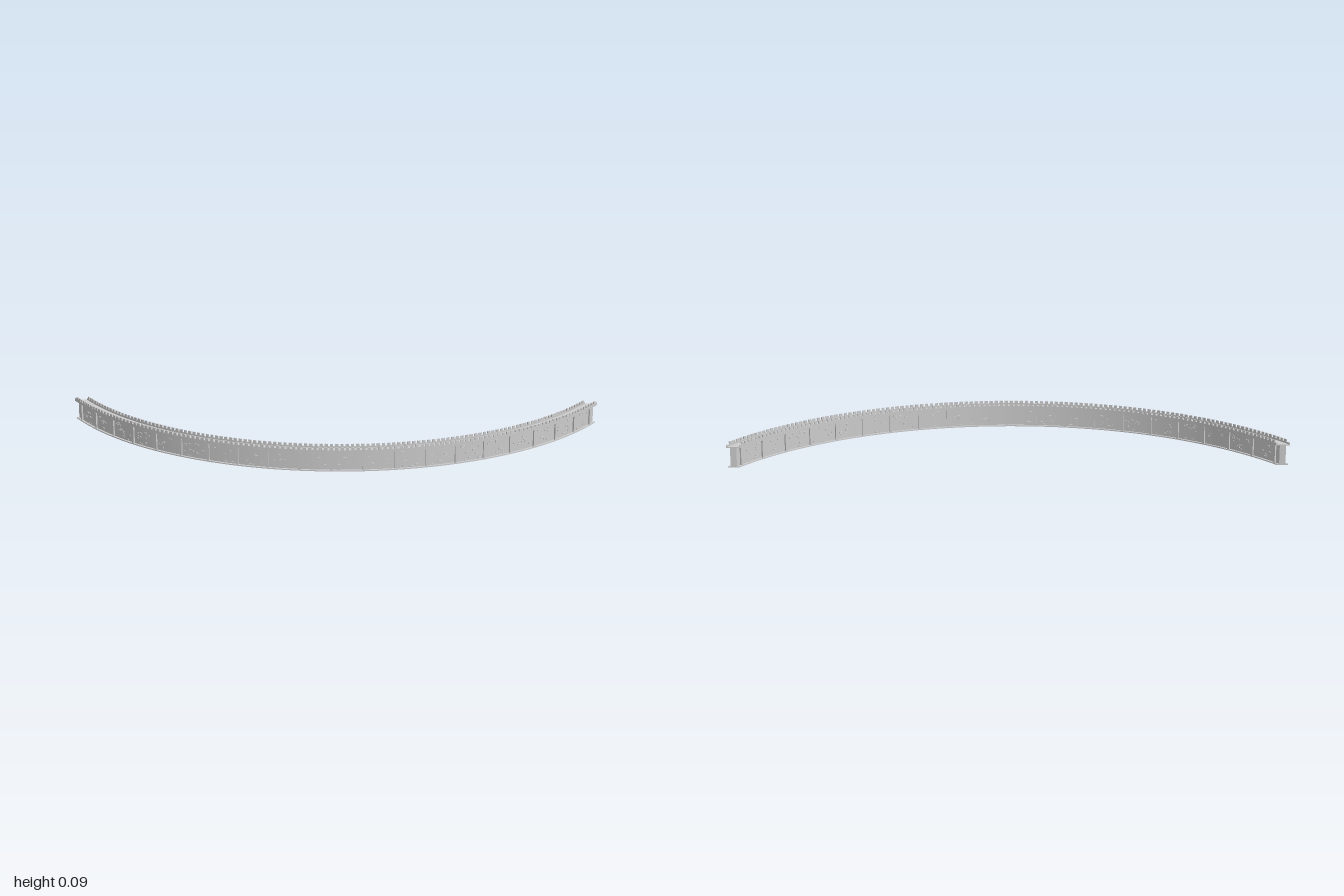
import * as THREE from 'three';
import { mergeGeometries } from 'three/addons/utils/BufferGeometryUtils.js';

const CENTRE_Z = -0.893;      // centre of the arc
const END = 0.613;            // distance from the arc centre to the flat cut ends
const BAYS = 20, BAY = 0.0985; // bays between pillars, in radians
const OUTER = 1.173, INNER = 1.13;
const FULL = 1.1;             // beyond the cut, so the ends get trimmed flat

// A box bent along the arc, trimmed flat at both ends of the wall
function arcBox(r0, r1, y0, y1, a0, a1, segments = 1) {
  const geo = new THREE.BoxGeometry(1, 1, 1, segments, 1, 1);
  const p = geo.attributes.position;
  for (let i = 0; i < p.count; i++) {
    const r = r0 + (p.getZ(i) + 0.5) * (r1 - r0);
    const y = y0 + (p.getY(i) + 0.5) * (y1 - y0);
    const limit = Math.acos(END / r);
    const a = THREE.MathUtils.clamp(a0 + (p.getX(i) + 0.5) * (a1 - a0), -limit, limit);
    p.setXYZ(i, r * Math.sin(a), y, CENTRE_Z + r * Math.cos(a));
  }
  geo.computeVertexNormals();
  return geo;
}

// Full-length course, with segments lined up so the trimmed ends stay clean
function course(r0, r1, y0, y1) {
  const end = Math.acos(END / r1);
  const geo = arcBox(r0, r1, y0, y1, -1, 1, 100);
  const p = geo.attributes.position;
  for (let i = 0; i < p.count; i++) {
    const x = p.getX(i), z = p.getZ(i) - CENTRE_Z;
    const r = Math.hypot(x, z);
    const limit = Math.acos(END / r);
    // stretch each radius evenly so that it meets the flat end
    const a = Math.atan2(x, z) / Math.min(1, limit) * limit;
    p.setXYZ(i, r * Math.sin(a), p.getY(i), CENTRE_Z + r * Math.cos(a));
  }
  return geo;
}

function seeded(seed) {
  return () => {
    seed = (seed * 16807) % 2147483647;
    return seed / 2147483647;
  };
}

export function createModel() {
  const group = new THREE.Group();
  const material = new THREE.MeshStandardMaterial({ color: 0xcccccc, flatShading: true });
  const add = (name, geometries) => {
    const mesh = new THREE.Mesh(mergeGeometries(geometries), material);
    mesh.name = name;
    group.add(mesh);
  };

  // Main wall, low footing and overhanging walkway
  add('wall', [course(1.142, 1.161, 0.002, 0.074)]);
  add('footing', [course(1.134, 1.169, 0, 0.004)]);
  add('walkway', [course(INNER, OUTER, 0.071, 0.076)]);
  add('parapets', [
    course(OUTER - 0.004, OUTER, 0.076, 0.082),
    course(INNER, INNER + 0.004, 0.076, 0.082),
  ]);

  // Pillars between the bays, standing out on both faces
  const pillars = [];
  for (let i = 0; i <= BAYS; i++) {
    const a = (i - BAYS / 2) * BAY;
    pillars.push(arcBox(1.136, 1.167, 0.003, 0.072, a - 0.0036, a + 0.0036));
  }
  add('pillars', pillars);

  // Merlons along both parapets
  const merlons = [];
  const pitch = BAY / 6;
  for (let i = -62; i <= 62; i++) {
    const a = i * pitch, half = pitch * 0.31;
    for (const r of [INNER, OUTER - 0.004]) {
      if (Math.abs(a) + half > Math.acos(END / r)) continue;
      merlons.push(arcBox(r, r + 0.004, 0.082, 0.091, a - half, a + half));
    }
  }
  add('merlons', merlons);

  // Scattered raised stones on both faces of each bay
  const random = seeded(4177);
  const stones = [];
  for (let bay = 0; bay < BAYS; bay++) {
    for (const [r0, r1] of [[1.1395, 1.145], [1.158, 1.1635]]) {
      const count = 5 + Math.floor(random() * 7);
      for (let n = 0; n < count; n++) {
        const a = (bay - BAYS / 2 + 0.1 + random() * 0.7) * BAY;
        const y = 0.006 + Math.floor(random() * 9) * 0.0066;
        const width = 0.006 + random() * 0.007;
        stones.push(arcBox(r0, r1, y, y + 0.004 + random() * 0.0025, a, a + width));
      }
    }
  }
  add('raisedStones', stones);

  return group;
}
